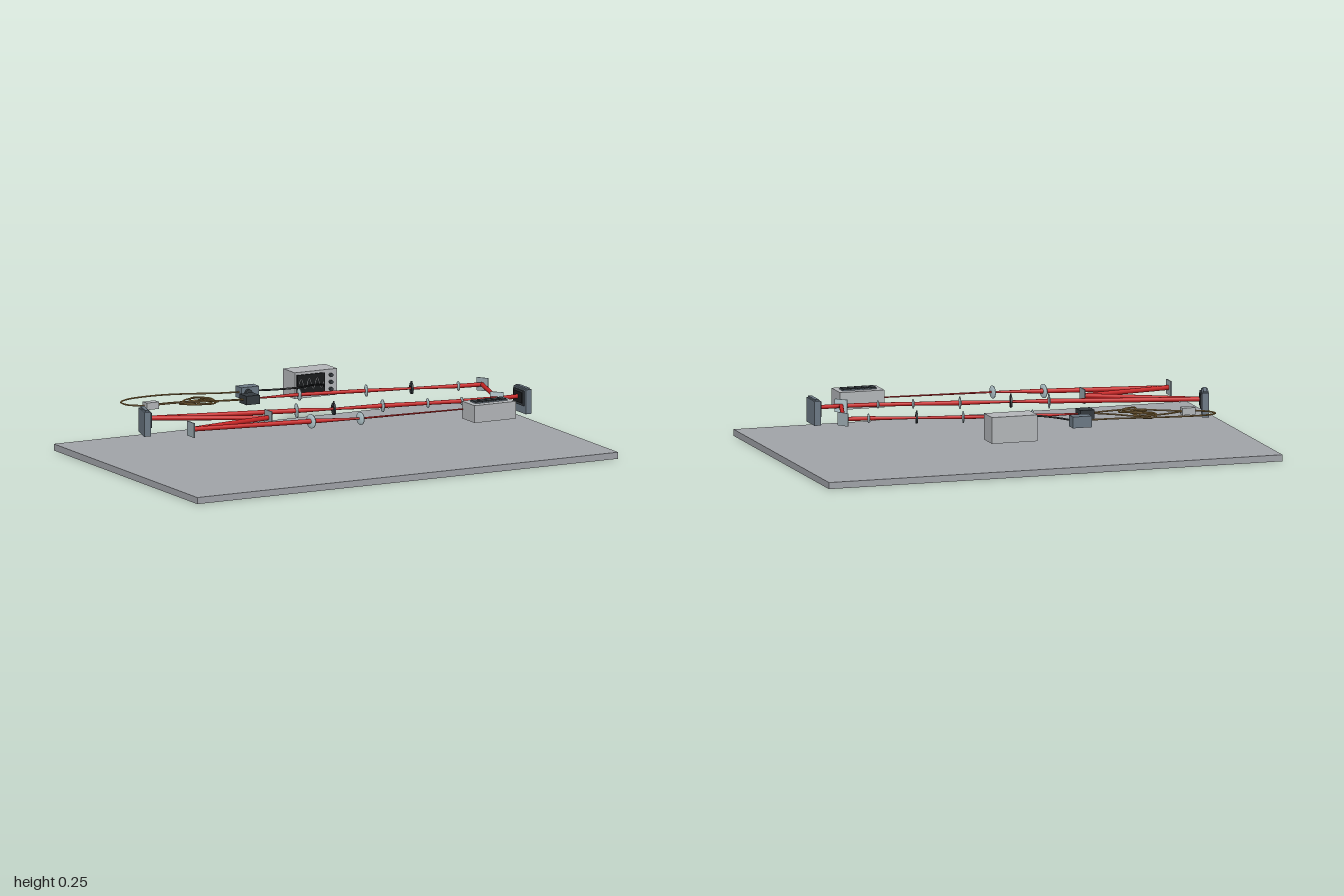
import * as THREE from 'three';

const Y = 0.198; // height of the optical axis

function mat(name, color, side = THREE.FrontSide) {
  const m = new THREE.MeshStandardMaterial({ color, side });
  m.name = name;
  return m;
}

export function createModel() {
  const model = new THREE.Group();
  model.name = 'opticalBench';
  const M = {
    table: mat('tableGrey', 0x9fa2a7),
    casing: mat('casingGrey', 0xb2b5b8),
    slate: mat('slate', 0x6b7884),
    dark: mat('darkMetal', 0x33393e),
    black: mat('black', 0x191b1d),
    red: mat('beamRed', 0xc62424),
    glass: mat('lensGlass', 0xb6cbd1),
    mirror: mat('mirrorSilver', 0x98a6ac),
    fibre: mat('fibreGold', 0x96743a),
  };

  const add = (name, geo, material, x = 0, y = 0, z = 0, parent = model) => {
    const mesh = new THREE.Mesh(geo, material);
    mesh.name = name;
    mesh.position.set(x, y, z);
    parent.add(mesh);
    return mesh;
  };
  // box given by its limits on each axis
  const box = (name, m, [x0, x1], [y0, y1], [z0, z1], parent) =>
    add(name, new THREE.BoxGeometry(x1 - x0, y1 - y0, z1 - z0), m,
      (x0 + x1) / 2, (y0 + y1) / 2, (z0 + z1) / 2, parent);
  // group whose local +x points along (dx, dz)
  const station = (name, x, z, dx, dz) => {
    const g = new THREE.Group();
    g.name = name;
    g.position.set(x, Y, z);
    g.rotation.y = Math.atan2(-dz, dx);
    model.add(g);
    return g;
  };

  box('tableTop', M.table, [-1, 1], [0, 0.028], [-0.635, 0.635]);

  // Laser beam: x, z, radius at each point of the folded path
  const path = [
    [0.46, 0.266, 0.003], [-0.01, 0.235, 0.004], [-0.22, 0.19, 0.01],
    [-0.74, 0.1, 0.01], [-0.345, 0.04, 0.01], [-0.785, -0.19, 0.01],
    [-0.17, -0.033, 0.01], [-0.015, 0.007, 0.005], [0.197, 0.046, 0.01],
    [0.39, 0.086, 0.008], [0.535, 0.117, 0.009], [0.69, 0.138, 0.009],
    [0.79, 0.138, 0.009],
  ];
  const returnPath = [
    [0.69, 0.138, 0.009], [0.775, -0.15, 0.009], [0.67, -0.166, 0.009],
    [0.475, -0.217, 0.005], [0.285, -0.264, 0.008], [0, -0.325, 0.008],
    [-0.195, -0.343, 0.003],
  ];
  const beam = (points) => {
    for (let i = 0; i < points.length - 1; i++) {
      const [x0, z0, r0] = points[i], [x1, z1, r1] = points[i + 1];
      const dir = new THREE.Vector3(x1 - x0, 0, z1 - z0);
      const m = add('beam', new THREE.CylinderGeometry(r1, r0, dir.length(), 16), M.red,
        (x0 + x1) / 2, Y, (z0 + z1) / 2);
      m.quaternion.setFromUnitVectors(new THREE.Vector3(0, 1, 0), dir.normalize());
    }
  };
  beam(path);
  beam(returnPath);

  // Lenses: lens-shaped discs standing across the beam
  const lens = (x, z, r, dx, dz) => {
    const profile = [[0, -0.006], [r * 0.6, -0.0045], [r, -0.002],
      [r, 0.002], [r * 0.6, 0.0045], [0, 0.006]].map(p => new THREE.Vector2(...p));
    const g = station('lens', x, z, dx, dz);
    add('lensDisc', new THREE.LatheGeometry(profile, 32), M.glass, 0, 0, 0, g).rotation.z = Math.PI / 2;
  };
  [[-0.01, 0.235, 0.027, 1, -0.14], [-0.22, 0.19, 0.03, 1, -0.19],
    [-0.17, -0.033, 0.031, 1, 0.25], [0.197, 0.046, 0.026, 1, 0.2],
    [0.39, 0.086, 0.02, 1, 0.2], [0.535, 0.117, 0.017, 1, 0.17],
    [0.67, -0.166, 0.02, 1, 0.2], [0.285, -0.264, 0.025, 1, 0.23],
    [0, -0.325, 0.025, 1, 0.16]].forEach(a => lens(...a));

  // Iris diaphragms: dark rings
  const iris = (x, z, r, dx, dz) => {
    const g = station('iris', x, z, dx, dz);
    const s = new THREE.Shape().absarc(0, 0, r, 0, Math.PI * 2);
    s.holes.push(new THREE.Path().absarc(0, 0, r * 0.42, 0, Math.PI * 2, true));
    const geo = new THREE.ExtrudeGeometry(s, { depth: 0.008, bevelEnabled: false, curveSegments: 24 });
    add('irisRing', geo.translate(0, 0, -0.004), M.dark, 0, 0, 0, g).rotation.y = Math.PI / 2;
    box('irisLever', M.dark, [-0.003, 0.003], [r - 0.002, r + 0.007], [-0.002, 0.002], g);
  };
  iris(-0.015, 0.007, 0.026, 1, 0.22);
  iris(0.475, -0.217, 0.024, 1, 0.25);

  // Flat mirrors and the beam splitter, facing (dx, dz)
  const plate = (name, m, x, z, dx, dz, w, h) =>
    add(name, new THREE.BoxGeometry(0.005, h, w), m, 0, 0, 0, station(name + 'Mount', x, z, dx, dz));
  plate('foldMirror', M.mirror, -0.743, 0.1, 1, 0, 0.062, 0.062);
  plate('foldMirror', M.mirror, -0.342, 0.04, -1, 0, 0.062, 0.062);
  plate('turnMirror', M.mirror, 0.778, -0.152, -1.27, 0.82, 0.056, 0.056);
  plate('beamSplitter', M.glass, 0.69, 0.138, 1, -1, 0.058, 0.056);

  // Light modulators: housing, raised frame and dark panel
  const modulator = (x, z, dx, dz) => {
    const g = station('lightModulator', x, z, dx, dz);
    box('housing', M.slate, [-0.028, 0], [-0.068, 0.036], [-0.055, 0.055], g);
    box('topCover', M.slate, [-0.022, -0.006], [0.036, 0.042], [-0.047, 0.047], g);
    box('frame', M.dark, [0, 0.007], [-0.034, 0.03], [-0.044, 0.044], g);
    box('panel', M.black, [0.007, 0.01], [-0.024, 0.022], [-0.034, 0.034], g);
  };
  modulator(0.797, 0.14, -1, 0);
  modulator(-0.79, -0.192, 0.95, 0.27);

  // Laser head with a slatted vent on its lid
  const laser = new THREE.Group();
  laser.name = 'laserHead';
  model.add(laser);
  box('laserBody', M.casing, [0.46, 0.656], [0.157, 0.231], [0.256, 0.37], laser);
  box('ventBase', M.slate, [0.484, 0.634], [0.231, 0.234], [0.288, 0.336], laser);
  for (let i = 0; i < 5; i++) {
    const x = 0.484 + i * 0.031;
    box('ventSlat', M.dark, [x, x + 0.022], [0.234, 0.239], [0.288, 0.336], laser);
  }

  // Oscilloscope: casing, screen with a trace, knobs
  const scope = new THREE.Group();
  scope.name = 'oscilloscope';
  model.add(scope);
  box('scopeBody', M.casing, [0.068, 0.268], [0.142, 0.254], [-0.595, -0.491], scope);
  box('scopeScreen', M.black, [0.077, 0.208], [0.162, 0.243], [-0.491, -0.485], scope);
  const trace = [];
  for (let i = 0; i <= 24; i++) {
    trace.push(new THREE.Vector3(0.085 + i * 0.0048, 0.203 + 0.022 * Math.sin(i * 0.79), -0.484));
  }
  add('scopeTrace', new THREE.TubeGeometry(new THREE.CatmullRomCurve3(trace), 72, 0.0016, 5), M.casing, 0, 0, 0, scope);
  for (const y of [0.17, 0.2, 0.23]) {
    add('scopeKnob', new THREE.CylinderGeometry(0.008, 0.008, 0.012, 16), M.dark, 0.237, y, -0.485, scope)
      .rotation.x = Math.PI / 2;
  }

  // Photodetector with a round socket
  box('detectorBody', M.slate, [-0.198, -0.114], [0.172, 0.22], [-0.52, -0.467]);
  add('detectorSocket', new THREE.CylinderGeometry(0.016, 0.016, 0.018, 20), M.dark, -0.168, 0.196, -0.465)
    .rotation.x = Math.PI / 2;

  // Fibre coupler and fibre junction
  box('fibreCoupler', M.dark, [-0.257, -0.194], [0.179, 0.217], [-0.377, -0.313]);
  box('fibreJunction', M.casing, [-0.682, -0.624], [0.183, 0.213], [-0.44, -0.404]);

  // Cables and fibres
  const cable = (name, m, r, pts, closed = false) =>
    add(name, new THREE.TubeGeometry(new THREE.CatmullRomCurve3(
      pts.map(p => new THREE.Vector3(...p)), closed), 64, r, 6, closed), m);
  cable('signalCable', M.black, 0.004, [[-0.116, 0.2, -0.475], [-0.06, 0.206, -0.43],
    [0.025, 0.212, -0.395], [0.11, 0.212, -0.415], [0.18, 0.2, -0.455], [0.205, 0.185, -0.49]]);
  cable('fibreLead', M.fibre, 0.0035, [[-0.68, Y, -0.425], [-0.735, Y, -0.47], [-0.74, 0.2, -0.525],
    [-0.69, 0.202, -0.56], [-0.55, 0.204, -0.565], [-0.42, 0.203, -0.54], [-0.3, 0.2, -0.505],
    [-0.197, Y, -0.49]]);
  for (const s of [-1, 1]) {
    cable('fibreStrand', M.fibre, 0.0035, [[-0.626, Y, -0.424 + s * 0.005],
      [-0.54, Y + s * 0.004, -0.42 + s * 0.024], [-0.43, Y + s * 0.007, -0.395 + s * 0.042],
      [-0.34, Y + s * 0.004, -0.362 + s * 0.022], [-0.256, Y, -0.345 + s * 0.004]]);
  }
  const loops = [[-0.475, -0.428, 0.036, 0.03], [-0.46, -0.415, 0.052, 0.038],
    [-0.44, -0.402, 0.066, 0.042], [-0.425, -0.386, 0.055, 0.04], [-0.405, -0.366, 0.036, 0.028]];
  loops.forEach(([cx, cz, a, b], k) => {
    const pts = [], tilt = 0.5;
    for (let i = 0; i < 16; i++) {
      const t = i * Math.PI / 8, u = a * Math.cos(t), v = b * Math.sin(t);
      pts.push([cx + u * Math.cos(tilt) - v * Math.sin(tilt),
        Y - 0.008 + k * 0.004 + 0.008 * Math.sin(t + k * 1.3),
        cz + u * Math.sin(tilt) + v * Math.cos(tilt)]);
    }
    cable('fibreCoil', M.fibre, 0.0035, pts, true);
  });

  return model;
}
